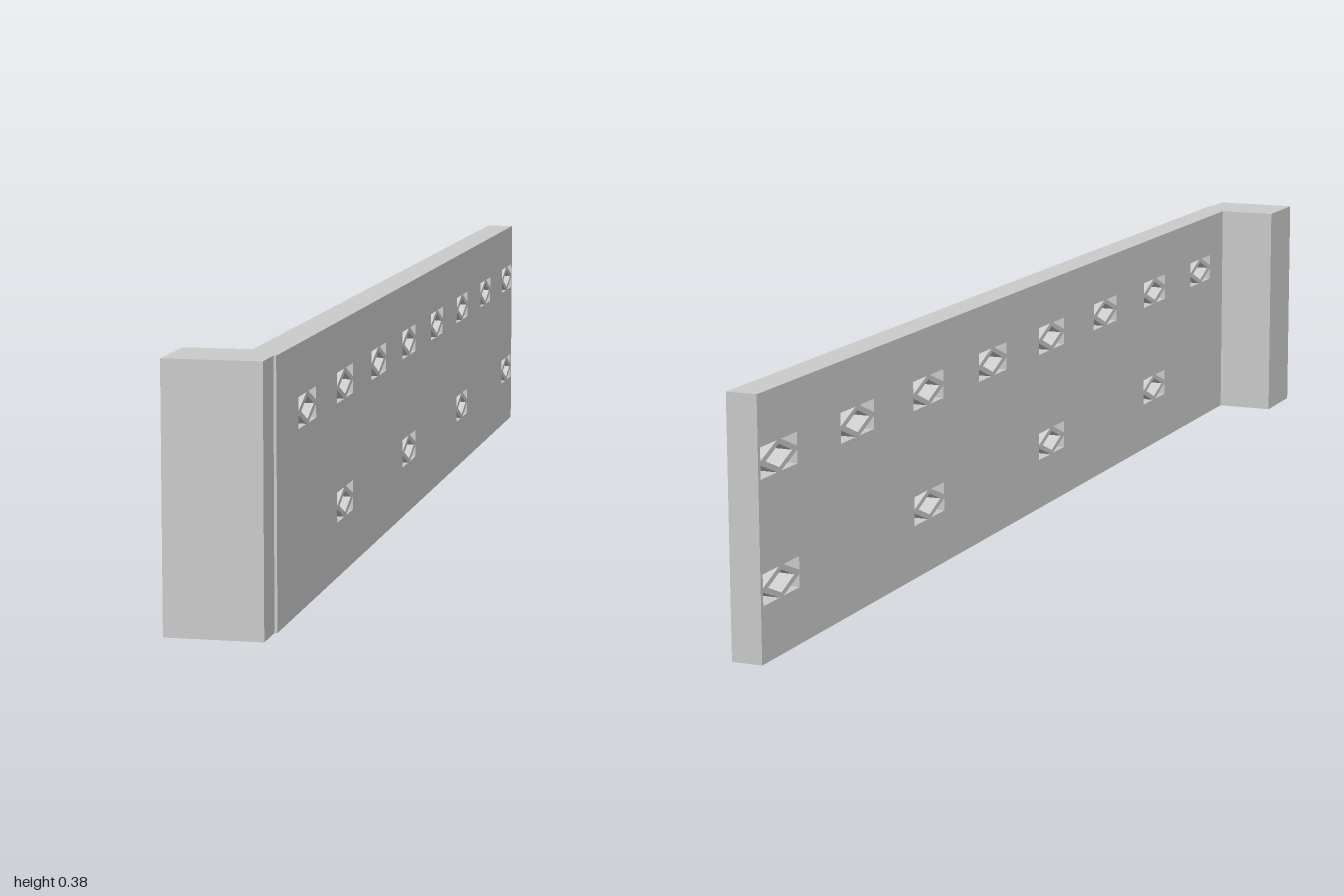
import * as THREE from 'three';

const material = new THREE.MeshStandardMaterial({ color: 0xcccccc, flatShading: true });

// Overall layout
const HEIGHT = 0.38, BASE = 0.016, COURSES = 6, COURSE = 0.0593;
const TOP = BASE + COURSES * COURSE;
const WALL = { x0: 0.025, x1: 0.072, z0: -1, z1: 0.9425 };
const PIER = { x0: -0.073, x1: 0.068, z0: 0.885, z1: 1 };
const COLUMNS = 16, BLOCK = (WALL.z1 - WALL.z0) / COLUMNS;

// Box given by its limits
function box(name, x0, x1, y0, y1, z0, z1) {
  const mesh = new THREE.Mesh(new THREE.BoxGeometry(x1 - x0, y1 - y0, z1 - z0), material);
  mesh.position.set((x0 + x1) / 2, (y0 + y1) / 2, (z0 + z1) / 2);
  mesh.name = name;
  return mesh;
}

function outline(PathType, points) {
  return new PathType(points.map(([x, y]) => new THREE.Vector2(x, y)));
}

// Pierced block: a diamond opening with a triangular opening in each corner
function screenBlockGeometry(depth) {
  const w = BLOCK / 2, h = COURSE / 2;
  const a = 0.054, b = 0.0225;
  const shape = outline(THREE.Shape, [[-w, -h], [w, -h], [w, h], [-w, h]]);
  shape.holes.push(outline(THREE.Path, [[-0.039, 0], [0, 0.0165], [0.039, 0], [0, -0.0165]]));
  for (const sx of [-1, 1]) {
    for (const sy of [-1, 1]) {
      shape.holes.push(outline(THREE.Path, [
        [sx * a, sy * b], [sx * 0.006, sy * b], [sx * a, sy * 0.003],
      ]));
    }
  }
  return new THREE.ExtrudeGeometry(shape, { depth, bevelEnabled: false })
    .translate(0, 0, -depth / 2)
    .rotateY(-Math.PI / 2);
}

export function createModel() {
  const model = new THREE.Group();
  model.name = 'gardenWall';

  // Long wall in stacked courses, some blocks pierced
  const wall = new THREE.Group();
  wall.name = 'wall';
  const pierced = screenBlockGeometry(WALL.x1 - WALL.x0);
  for (let row = 0; row < COURSES; row++) {
    const y = BASE + row * COURSE;
    for (let col = 0; col < COLUMNS; col++) {
      const z = WALL.z1 - col * BLOCK;
      const isPierced = (row === 4 && col % 2 === 1) || (row === 1 && col % 4 === 3);
      if (isPierced) {
        const block = new THREE.Mesh(pierced, material);
        block.position.set((WALL.x0 + WALL.x1) / 2, y + COURSE / 2, z - BLOCK / 2);
        block.name = 'screenBlock';
        wall.add(block);
      } else {
        wall.add(box('plainBlock', WALL.x0, WALL.x1, y, y + COURSE, z - BLOCK, z));
      }
    }
  }

  // End pier
  const pier = new THREE.Group();
  pier.name = 'pier';
  for (let row = 0; row < COURSES; row++) {
    const y = BASE + row * COURSE;
    pier.add(box('pierBlock', PIER.x0, PIER.x1, y, y + COURSE, PIER.z0, PIER.z1));
  }

  // Footing and coping strips under and over both parts
  for (const [group, p] of [[wall, WALL], [pier, PIER]]) {
    group.add(box('footing', p.x0, p.x1, 0, BASE, p.z0, p.z1));
    group.add(box('coping', p.x0, p.x1, TOP, HEIGHT, p.z0, p.z1));
    model.add(group);
  }
  return model;
}
